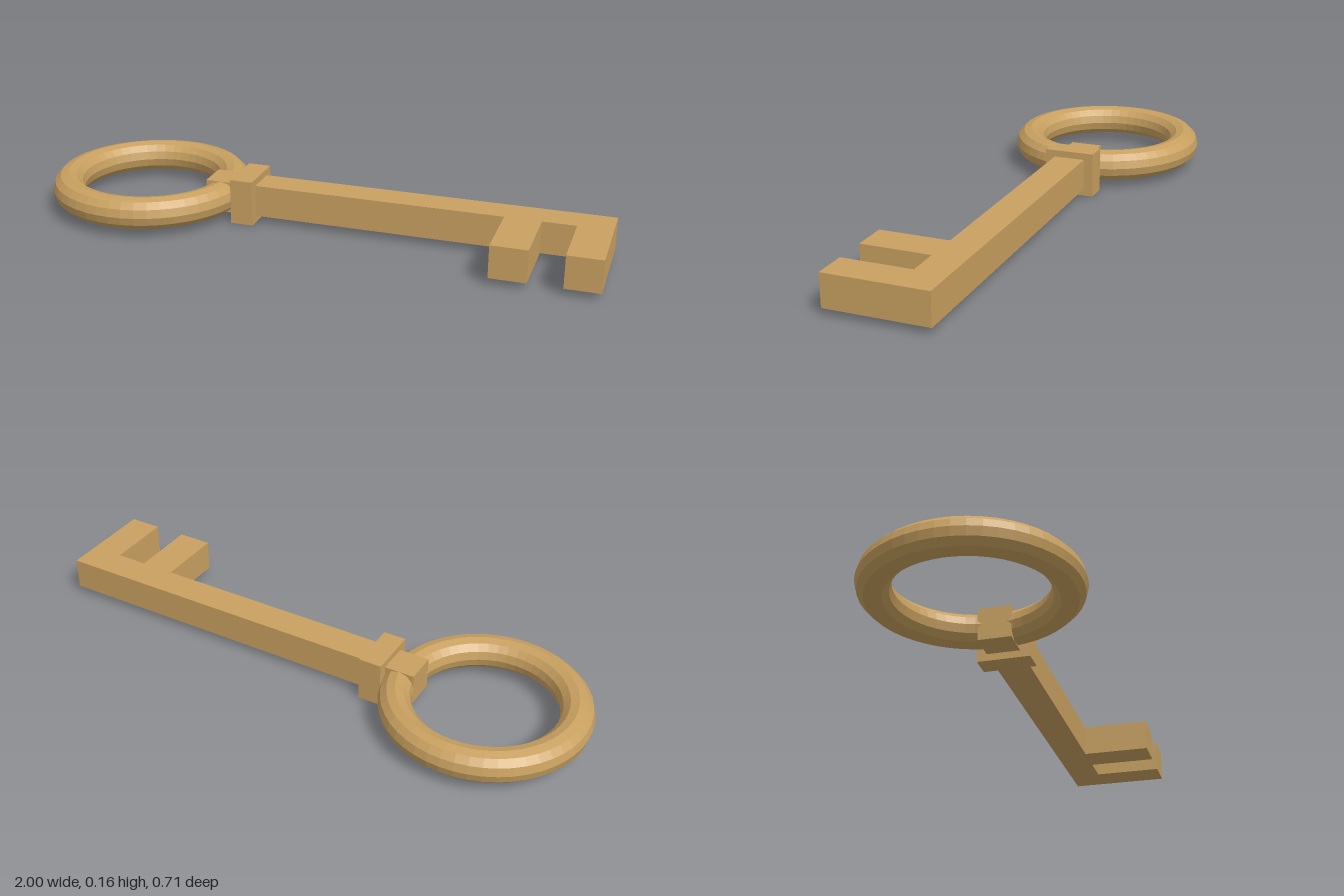
import * as THREE from 'three';

export function createModel() {
  const key = new THREE.Group();
  key.name = 'key';
  const brass = new THREE.MeshStandardMaterial({ color: 0xc8a060, flatShading: true });
  const midY = 0.08;  // centre height of every part
  const half = 0.056; // half thickness of ring and shaft

  const add = (name, geometry, x, z) => {
    const mesh = new THREE.Mesh(geometry, brass);
    mesh.name = name;
    mesh.position.set(x, midY, z);
    key.add(mesh);
  };

  // Round grip, lying flat
  add('ringGrip', new THREE.TorusGeometry(0.297, half, 12, 48).rotateX(Math.PI / 2), -0.647, 0);

  // Shaft and two teeth in one flat outline, extruded upwards
  const outline = [
    [-0.41, -half], [1, -half], [1, 0.298], [0.883, 0.298], [0.883, half],
    [0.77, half], [0.77, 0.298], [0.647, 0.298], [0.647, half], [-0.41, half],
  ];
  const shape = new THREE.Shape(outline.map(([x, z]) => new THREE.Vector2(x, -z)));
  const blade = new THREE.ExtrudeGeometry(shape, { depth: 2 * half, bevelEnabled: false });
  blade.translate(0, 0, -half).rotateX(-Math.PI / 2);
  add('shaftWithTeeth', blade, 0, 0);

  // Square collar between grip and shaft
  add('collar', new THREE.BoxGeometry(0.08, 0.16, 0.18), -0.265, 0);

  return key;
}
